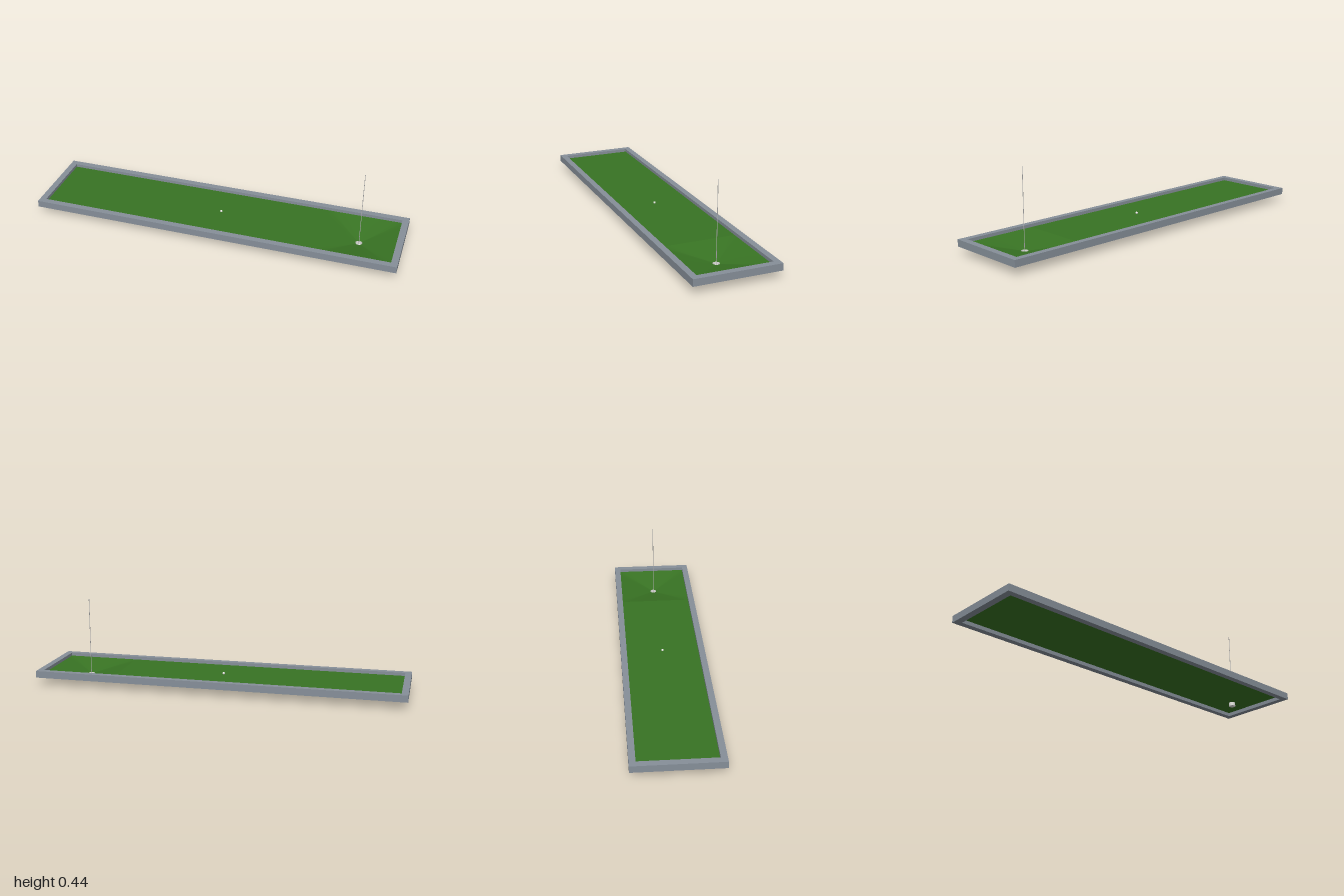
import * as THREE from 'three';

const HX = 1, HZ = 0.23;           // outer half sizes of the frame
const IX = 0.965, IZ = 0.197;      // inner half sizes
const Y0 = 0.04, Y1 = 0.077;       // frame bottom and top
const TURF = 0.06, CUP_X = 0.768, CUP_R = 0.0185, CUP_H = 0.02;

const mat = (name, color, side = THREE.FrontSide) => {
  const m = new THREE.MeshStandardMaterial({ color, side });
  m.name = name;
  return m;
};

// Dished surface: a square outer rim falling to the round cup edge
function dishGeometry(half, n = 48) {
  const pos = [], idx = [];
  for (let i = 0; i <= n; i++) {
    const a = (i / n) * Math.PI * 2, c = Math.cos(a), s = Math.sin(a);
    const r = half / Math.max(Math.abs(c), Math.abs(s));
    pos.push(c * CUP_R, CUP_H, s * CUP_R, c * r, TURF, s * r);
    if (i < n) {
      const k = i * 2;
      idx.push(k, k + 2, k + 1, k + 1, k + 2, k + 3);
    }
  }
  const g = new THREE.BufferGeometry();
  g.setAttribute('position', new THREE.Float32BufferAttribute(pos, 3));
  g.setIndex(idx);
  g.computeVertexNormals();
  return g;
}

export function createModel() {
  const group = new THREE.Group();
  group.name = 'miniGolfHole';
  const green = mat('turfGreen', 0x387323, THREE.DoubleSide);
  const grey = mat('frameGrey', 0x868f99);
  const white = mat('cupWhite', 0xe4e4e0, THREE.DoubleSide);
  const steel = mat('poleGrey', 0xb4b4b4);

  const add = (name, geo, material, x = 0, y = 0, z = 0) => {
    const m = new THREE.Mesh(geo, material);
    m.name = name;
    m.position.set(x, y, z);
    group.add(m);
    return m;
  };

  // Frame: one rectangular ring
  const rect = (P, x, z) => {
    const p = new P();
    p.moveTo(-x, -z);
    p.lineTo(x, -z);
    p.lineTo(x, z);
    p.lineTo(-x, z);
    p.closePath();
    return p;
  };
  const ring = rect(THREE.Shape, HX, HZ);
  ring.holes.push(rect(THREE.Path, IX, IZ));
  const frameGeo = new THREE.ExtrudeGeometry(ring, { depth: Y1 - Y0, bevelEnabled: false });
  frameGeo.rotateX(-Math.PI / 2);
  add('frame', frameGeo, grey, 0, Y0);

  // Flat turf, then the dish around the cup
  const edge = CUP_X - IZ;
  const flat = new THREE.PlaneGeometry(edge + IX, IZ * 2).rotateX(-Math.PI / 2);
  add('flatTurf', flat, green, (edge - IX) / 2, TURF);
  add('dishedTurf', dishGeometry(IZ), green, CUP_X);

  // Open cup with a floor
  add('cupWall', new THREE.CylinderGeometry(CUP_R, CUP_R, CUP_H, 24, 1, true), white, CUP_X, CUP_H / 2);
  add('cupFloor', new THREE.CircleGeometry(CUP_R, 24).rotateX(-Math.PI / 2), white, CUP_X);

  // Pole and ball
  const poleTop = 0.443;
  add('pole', new THREE.CylinderGeometry(0.0016, 0.0016, poleTop, 10), steel, CUP_X, poleTop / 2);
  add('ball', new THREE.SphereGeometry(0.0065, 20, 14), white, 0, TURF + 0.0065);

  return group;
}
